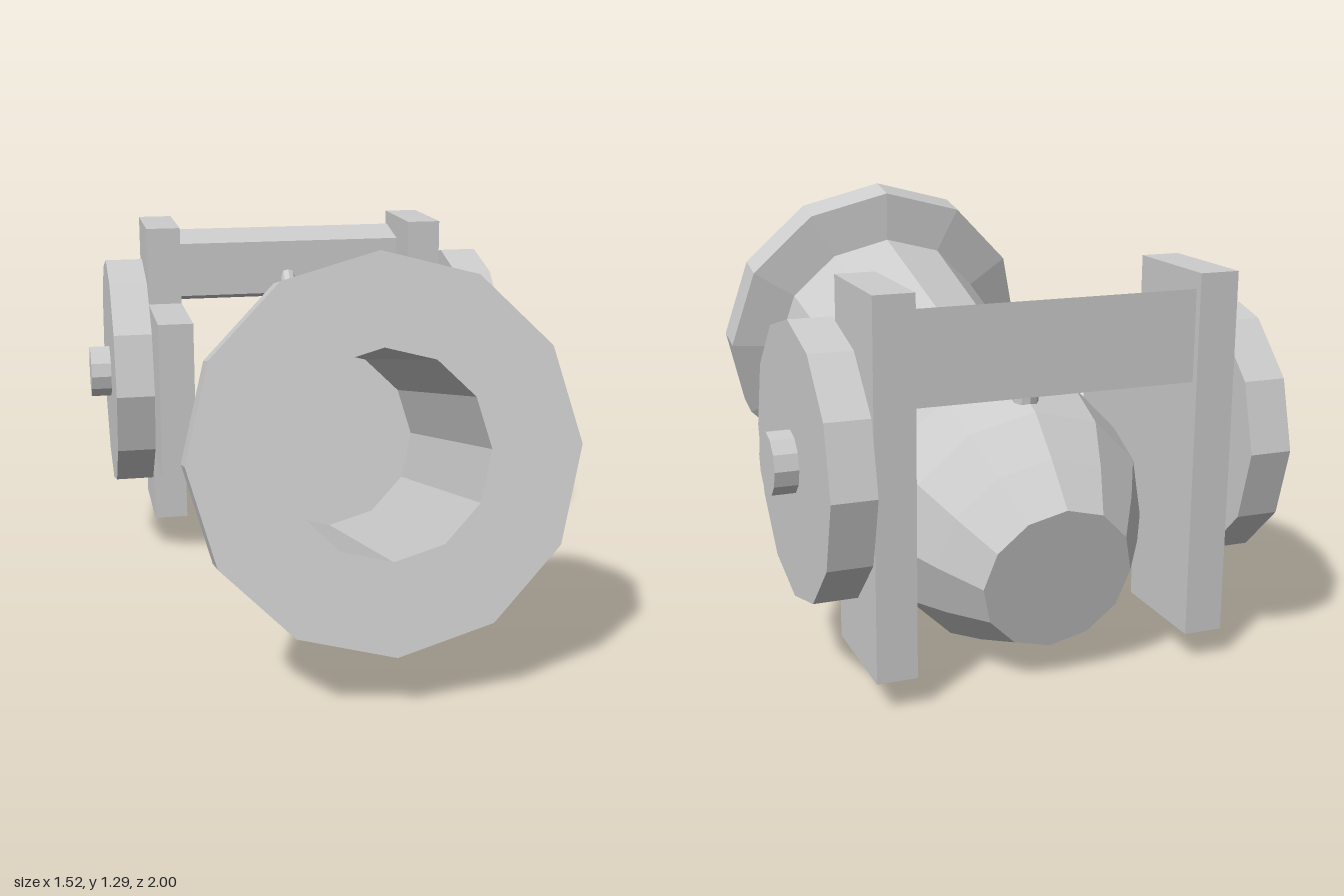
import * as THREE from 'three';

const grey = new THREE.MeshStandardMaterial({ color: 0xcccccc, flatShading: true });
grey.name = 'light grey metal';

function part(name, geometry, parent) {
  const mesh = new THREE.Mesh(geometry, grey);
  mesh.name = name;
  parent.add(mesh);
  return mesh;
}

// Extrudes a side outline of [z, y] points from x0 to x1.
function sideExtrude(outline, x0, x1) {
  const shape = new THREE.Shape(outline.map(([z, y]) => new THREE.Vector2(-z, y)));
  const g = new THREE.ExtrudeGeometry(shape, { depth: x1 - x0, bevelEnabled: false });
  return g.rotateY(Math.PI / 2).translate(x0, 0, 0);
}

export function createModel() {
  const model = new THREE.Group();
  model.name = 'cannon';

  // Barrel: closed breech, swollen chamber, flared muzzle ring and hollow bore
  const profile = [
    [0, -1.835], [0.23, -1.835], [0.32, -1.70], [0.4, -1.56], [0.425, -1.38],
    [0.42, -1.19], [0.36, -0.8], [0.403, -0.155], [0.57, -0.117], [0.57, 0],
    [0.3, 0], [0.3, -0.91], [0, -0.91],
  ].map(([r, t]) => new THREE.Vector2(r, t));
  const barrel = part('barrel', new THREE.LatheGeometry(profile, 12), model);
  barrel.position.set(0, 0.74, 0.875);
  barrel.rotation.x = Math.PI / 2 - THREE.MathUtils.degToRad(12.7);

  // Side brackets, wheels and axle stubs
  const bracket = [
    [-0.18, 0.375], [-0.56, 0.375], [-0.56, 0.1], [-0.91, 0.1],
    [-0.91, 1.195], [-0.56, 1.195], [-0.56, 0.92], [-0.18, 0.92],
  ];
  for (const [side, s] of [['left', 1], ['right', -1]]) {
    const x0 = s > 0 ? 0.425 : -0.545;
    part(side + 'Bracket', sideExtrude(bracket, x0, x0 + 0.12), model);

    const wheel = new THREE.CylinderGeometry(0.41, 0.41, 0.13, 12).rotateZ(Math.PI / 2);
    part(side + 'Wheel', wheel, model).position.set(s * 0.627, 0.672, -0.592);

    const axle = new THREE.CylinderGeometry(0.093, 0.093, 0.265, 12).rotateZ(Math.PI / 2);
    part(side + 'Axle', axle, model).position.set(s * 0.63, 0.672, -0.592);
  }

  // Rear crossbar, tapering towards the front
  const bar = [[-0.732, 1.112], [-0.732, 0.915], [-0.887, 0.875], [-0.887, 1.147]];
  part('crossbar', sideExtrude(bar, -0.425, 0.425), model);

  // Fuse with its collar
  const collar = part('fuseCollar', new THREE.CylinderGeometry(0.037, 0.042, 0.09, 10), model);
  collar.position.set(0, 0.832, -0.66);
  collar.rotation.x = -0.15;
  const path = new THREE.CatmullRomCurve3([
    new THREE.Vector3(0, 0.85, -0.665),
    new THREE.Vector3(0, 0.93, -0.682),
    new THREE.Vector3(0, 0.985, -0.745),
  ]);
  part('fuse', new THREE.TubeGeometry(path, 6, 0.026, 8), model);
  const tip = part('fuseTip', new THREE.CircleGeometry(0.026, 8), model);
  const end = path.getPointAt(1);
  tip.position.copy(end);
  tip.lookAt(end.clone().add(path.getTangentAt(1)));

  return model;
}
